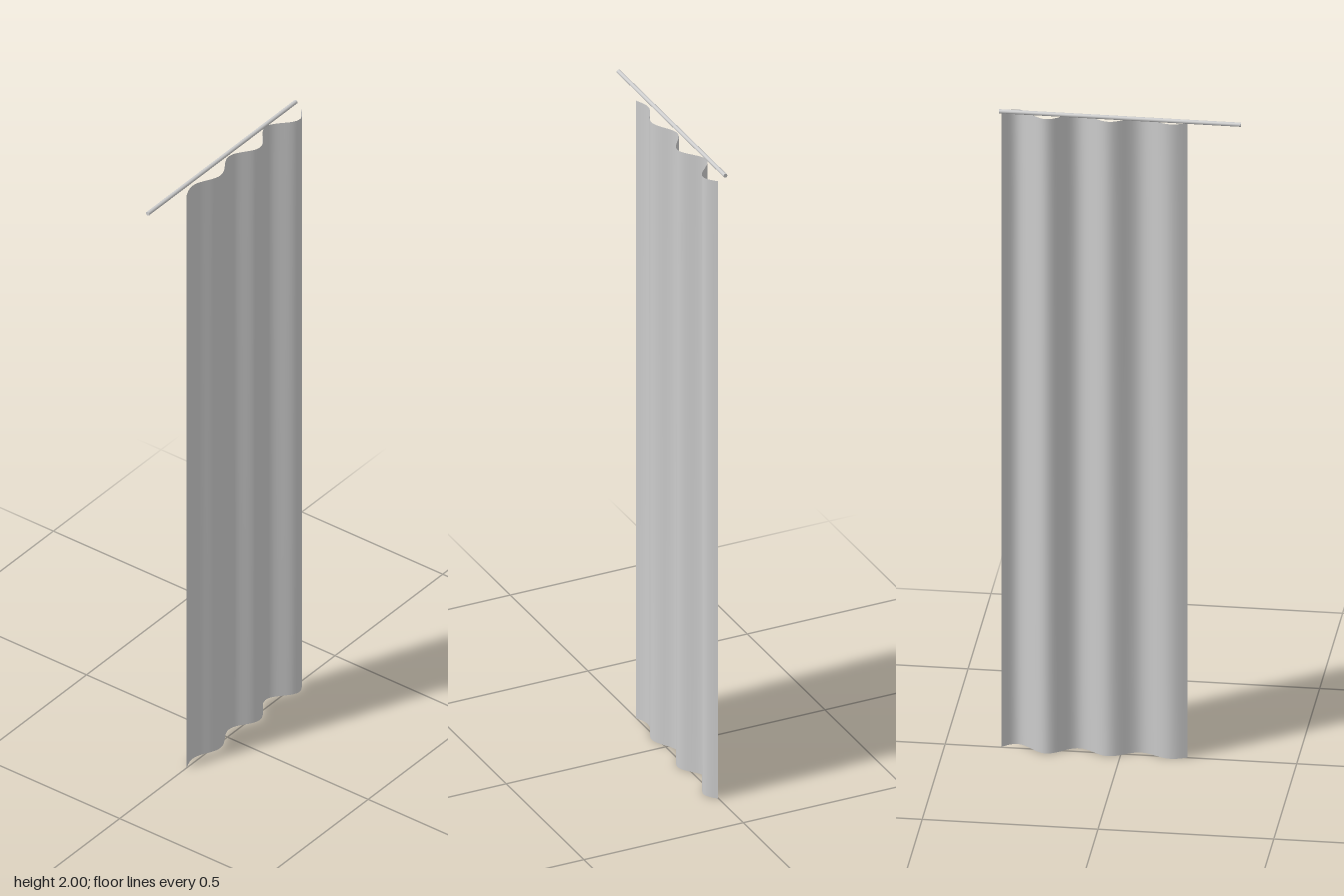
import * as THREE from 'three';

const HEIGHT = 1.98, LEFT = -0.19, RIGHT = 0.34, PERIOD = 0.177;

// Depth of the cloth: folds deepen towards the gathered side and slightly towards the top
function foldDepth(x, y) {
  const depth = THREE.MathUtils.mapLinear(x, LEFT, RIGHT, 0.013, 0.03);
  const hang = 0.95 + 0.05 * (y / HEIGHT);
  return depth * hang * Math.sin((2 * Math.PI * (0.342 - x)) / PERIOD);
}

export function createModel() {
  const group = new THREE.Group();
  group.name = 'curtainOnRod';

  const grey = new THREE.MeshStandardMaterial({ color: 0xcccccc, side: THREE.DoubleSide });
  grey.name = 'light grey';

  // Hanging cloth with wavy folds
  const cloth = new THREE.PlaneGeometry(RIGHT - LEFT, HEIGHT, 72, 8);
  cloth.translate((LEFT + RIGHT) / 2, HEIGHT / 2, 0);
  const pos = cloth.attributes.position;
  for (let i = 0; i < pos.count; i++) {
    pos.setZ(i, foldDepth(pos.getX(i), pos.getY(i)));
  }
  cloth.computeVertexNormals();
  const curtain = new THREE.Mesh(cloth, grey);
  curtain.name = 'curtain';
  group.add(curtain);

  // Straight rod just above the cloth
  const rod = new THREE.Mesh(new THREE.CylinderGeometry(0.006, 0.006, 0.688, 24), grey);
  rod.name = 'rod';
  rod.rotation.z = Math.PI / 2;
  rod.position.set(0, 1.994, -0.02);
  group.add(rod);

  return group;
}
